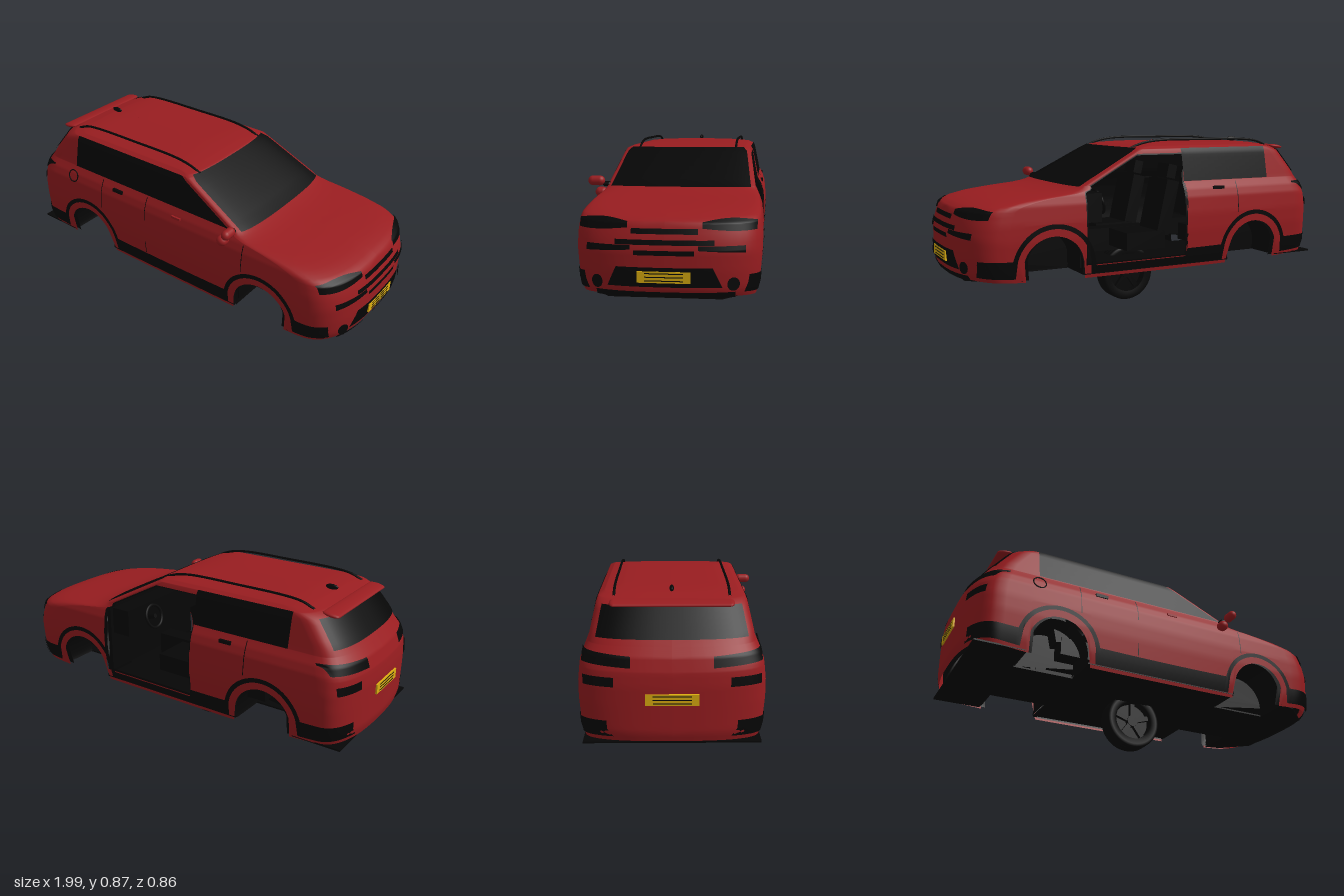
import * as THREE from 'three';

const mat = (name, color) => {
  const m = new THREE.MeshStandardMaterial({ color, side: THREE.DoubleSide });
  m.name = name;
  return m;
};

// Body rules: values by height y
const table = (pts) => (y) => {
  let i = 0;
  while (i < pts.length - 2 && y > pts[i + 1][0]) i++;
  const [a, b] = [pts[i], pts[i + 1]];
  return a[1] + (b[1] - a[1]) * Math.min(1, Math.max(0, (y - a[0]) / (b[0] - a[0])));
};
const halfWidth = table([[.22, .372], [.3, .39], [.42, .4], [.5, .4], [.58, .392], [.62, .379], [.65, .363],
  [.66, .358], [.8, .329], [.82, .323], [.835, .295], [.845, .21], [.85, 0]]);
const frontX = table([[.22, .95], [.28, .98], [.36, .987], [.45, .987], [.5, .975], [.56, .955], [.58, .922],
  [.6, .84], [.615, .71], [.63, .55], [.645, .475], [.66, .425], [.83, .1], [.84, .04], [.847, -.05], [.85, -.2]]);
const rearX = table([[.22, -.97], [.3, -.99], [.5, -.99], [.56, -.985], [.62, -.965], [.68, -.92], [.81, -.82],
  [.825, -.77], [.84, -.7], [.848, -.6], [.85, -.5]]);
const frontCorner = table([[.22, .2], [.6, .2], [.645, .1], [.66, .05], [.83, .05], [.85, .1]]);
const rearCorner = table([[.22, .15], [.62, .15], [.7, .12], [.85, .12]]);
const N = 2.6, AXLE = .56, AXLE_Y = .29;
const lerp = (a, b, t) => a + (b - a) * t;
const arch = (x, r) => {
  const d = Math.abs(x) - AXLE;
  return Math.abs(d) < r ? AXLE_Y + Math.sqrt(r * r - d * d) : 0;
};
const sillY = (x) => .225 + .038 * x ** 4;

// Half width at (x, y), and end position at (z, y)
function sideZ(x, y) {
  const f = (x - frontX(y)) / frontCorner(y) + 1, r = (rearX(y) - x) / rearCorner(y) + 1;
  const s = Math.min(1, Math.max(0, f, r));
  return halfWidth(y) * (1 - s ** N) ** (1 / N);
}
function endX(dir, z, y) {
  const k = Math.min(1, Math.abs(z) / halfWidth(y));
  const drop = 1 - (1 - k ** N) ** (1 / N);
  return dir > 0 ? frontX(y) - frontCorner(y) * drop : rearX(y) + rearCorner(y) * drop;
}
// Half outline at height y, in columns: rear corner, rear side, door, front side, front corner
const CORNER = 12, DOOR_A = CORNER + 60, DOOR_B = DOOR_A + 36, SIDE_END = DOOR_B + 34, COLUMNS = SIDE_END + CORNER;
function outline(i, y) {
  const w = halfWidth(y), lr = rearCorner(y), lf = frontCorner(y), xr = rearX(y) + lr, xf = frontX(y) - lf;
  if (i < CORNER || i > SIDE_END) {
    const t = (i < CORNER ? i : COLUMNS - i) / CORNER * Math.PI / 2;
    const c = Math.max(0, Math.cos(t)) ** (2 / N);
    return [i < CORNER ? xr - lr * c : xf + lf * c, w * Math.sin(t) ** (2 / N)];
  }
  const doorB = Math.min(.4, xf - .01), doorA = Math.min(-.15, lerp(xr, doorB, .6));
  if (i <= DOOR_A) return [lerp(xr, doorA, (i - CORNER) / (DOOR_A - CORNER)), w];
  if (i <= DOOR_B) return [lerp(doorA, doorB, (i - DOOR_A) / (DOOR_B - DOOR_A)), w];
  return [lerp(doorB, xf, (i - DOOR_B) / (SIDE_END - DOOR_B)), w];
}

// Surface from a grid of points, leaving out skipped cells
function grid(nu, nv, point, skip) {
  const pos = [], idx = [];
  for (let j = 0; j <= nv; j++) for (let i = 0; i <= nu; i++) pos.push(...point(i / nu, j / nv, i, j));
  for (let j = 0; j < nv; j++) for (let i = 0; i < nu; i++) {
    if (skip && skip(i, j)) continue;
    const a = j * (nu + 1) + i, b = a + 1, c = a + nu + 1, d = c + 1;
    idx.push(a, b, d, a, d, c);
  }
  const g = new THREE.BufferGeometry();
  g.setAttribute('position', new THREE.Float32BufferAttribute(pos, 3));
  g.setIndex(idx);
  g.computeVertexNormals();
  return g;
}

export function createModel() {
  const root = new THREE.Group(), car = new THREE.Group();
  car.name = 'car';
  car.position.z = -.025;
  root.add(car);
  const red = mat('body red', 0x991d20), black = mat('black', 0x060606);
  const yellow = mat('plate yellow', 0xdcae10);
  const add = (name, geo, m, x = 0, y = 0, z = 0, parent = car) => {
    const mesh = new THREE.Mesh(geo, m);
    mesh.name = name;
    mesh.position.set(x, y, z);
    parent.add(mesh);
    return mesh;
  };
  const box = (w, h, d) => new THREE.BoxGeometry(w, h, d);
  const podZ = (r, len, sx) => new THREE.CapsuleGeometry(r, len, 8, 20).rotateX(Math.PI / 2).scale(sx, 1, 1);

  // Body shell, one half per side; the front door on -z is missing
  const rows = [];
  for (let y = .52; y < .56; y += .02) rows.push(y);
  for (let y = .56; y < .659; y += .0075) rows.push(y);
  for (let y = .66; y < .815; y += .02) rows.push(y);
  for (let y = .82; y < .8501; y += .0025) rows.push(Math.min(y, .85));
  const LOW = 13;
  const inDoor = (i, j) => i >= DOOR_A && i < DOOR_B && j >= 3 && (j <= LOW || rows[j - LOW] < .81);
  for (const s of [1, -1]) {
    const shell = grid(COLUMNS, LOW + rows.length, (a, b, i, j) => {
      const x0 = outline(i, .3)[0];
      const y = j <= LOW ? lerp(Math.max(sillY(x0), arch(x0, .15)), .5, j / LOW) : rows[j - LOW - 1];
      const [x, z] = outline(i, y);
      return [x, y, s * z];
    }, s < 0 ? inDoor : null);
    add('bodyShell', shell, red);
    add('innerLining', shell, black, 0, .0125, 0).scale.setScalar(.975);
  }

  // Painted plates lying on the sides and on the ends
  const sidePlate = (name, s, x0, x1, y0, y1, nu = 20, nv = 8, off = .004) =>
    add(name, grid(nu, nv, (a, b) => {
      const yc = typeof y0 === 'number' ? lerp(y0, y1, b) : 0;
      const x = lerp(x0, typeof x1 === 'function' ? x1(yc) : x1, a);
      const y = yc || lerp(y0(x), y1(x), b);
      return [x, y, s * (sideZ(x, y) + off)];
    }), black);
  const endPlate = (name, dir, z0, z1, y0, y1) =>
    add(name, grid(24, 10, (a, b) => {
      const k = (e, t) => (typeof e === 'function' ? e(t) : e);
      const y = lerp(k(y0, a), k(y1, a), b);
      const z = lerp(k(z0, y), k(z1, y), a);
      return [endX(dir, z, y) + dir * .005, y, z * (1 + .012 * Math.abs(z) / halfWidth(y))];
    }), black);

  for (const s of [1, -1]) {
    // Side glass
    sidePlate('sideGlass', s, -.665, s > 0 ? (y) => frontX(y) - .07 : -.15, .66, .823, 24, 10);
    // Lower cladding that runs over the wheel arches
    const low = (x) => Math.max(sillY(x) + .02, arch(x, .185));
    sidePlate('cladding', s, -.965, .91, low, (x) => {
      const top = s < 0 && x > -.15 && x < .4 ? .285 : .325 + .025 * x * x;
      return Math.max(top, arch(x, .207), low(x));
    }, 240, 2);
    // Panel gaps and door handles
    sidePlate('rearDoorGap', s, -.46, -.456, .49, .65, 1, 8, .002);
    sidePlate('middleDoorGapTop', s, -.154, -.15, .53, .65, 1, 8, .002);
    sidePlate('middleDoorGapBottom', s, -.154, -.15, .33, .4, 1, 4, .002);
    if (s > 0) sidePlate('frontDoorGap', s, .452, .456, .48, .62, 1, 8, .002);
    add('rearDoorHandle', box(.065, .016, .02), black, -.345, .622, s * .377);
    if (s > 0) add('frontDoorHandle', box(.055, .012, .02), red, .05, .613, s * .379);
    // Wheel wells
    const wall = new THREE.Shape().moveTo(.152, -.045);
    wall.absarc(0, 0, .152, 0, Math.PI).lineTo(-.152, -.045);
    for (const x of [-AXLE, AXLE]) {
      const tunnel = new THREE.CylinderGeometry(.152, .152, .185, 32, 1, true, -Math.PI / 2 - .3, Math.PI + .6);
      add('wheelWell', tunnel.rotateX(-Math.PI / 2), black, x, AXLE_Y, s * .28);
      add('wheelWellWall', new THREE.ShapeGeometry(wall, 24), black, x, AXLE_Y, s * .19);
    }
    // Lamps and bumper details
    endPlate('headlight', 1, s * .155, s * .374, (a) => .54 - .012 * Math.sin(a * 2), (a) => .564 + .014 * Math.sin(a * 3));
    endPlate('bumperSlot', 1, s * .14, s * .33, (a) => .452 - .012 * a, .47);
    endPlate('bumperCorner', 1, s * .345, s * .372, .27, .33);
    add('fogLamp', new THREE.CircleGeometry(.028, 24), black, endX(1, .285, .31) + .012, .312, s * .285)
      .rotation.y = Math.PI / 2 - s * .45;
    endPlate('tailLight', -1, s * .17, s * .376, (a) => .59 - .01 * (1 - a), (a) => .625 + .012 * a);
    endPlate('rearReflector', -1, s * .24, s * .37, .5, .54);
    // Roof rails
    const rail = new THREE.CatmullRomCurve3([[-.73, .826], [-.66, .852], [-.3, .863], [-.05, .86], [.04, .845], [.1, .822]]
      .map(([x, y]) => new THREE.Vector3(x, y, s * .25)));
    add('roofRail', new THREE.TubeGeometry(rail, 40, .006, 8), black);
  }

  // Windscreen and rear window
  const glassEdge = (k) => (y) => k * halfWidth(y);
  endPlate('windscreen', 1, glassEdge(-.93), glassEdge(.93), .656, .828);
  endPlate('rearWindow', -1, glassEdge(-.9), glassEdge(.9), .685, .805);

  // Nose bars, lower grille and lip
  endPlate('upperGrille', 1, -.138, .138, .516, .538);
  endPlate('middleGrille', 1, -.205, .205, .472, .493);
  endPlate('noseSlot', 1, -.125, .125, .43, .45);
  const flare = (k) => (y) => k * lerp(.238, .2, (y - .297) / .083);
  endPlate('lowerGrille', 1, flare(-1), flare(1), .297, .38);
  endPlate('frontLip', 1, -.29, .29, .25, .276);

  // Number plates with dark stripes
  for (const [dir, y] of [[1, .34], [-1, .45]]) {
    const x = endX(dir, 0, y) + dir * .004;
    add('numberPlate', box(.008, .048, .222), yellow, x, y, 0);
    for (const k of [-1, 0, 1]) add('plateStripe', box(.002, .004, .16), black, x + dir * .004, y + k * .015, 0);
  }

  // Rear spoiler, aerial and fuel cap
  add('spoiler', new THREE.CapsuleGeometry(.02, .49, 6, 16).rotateX(Math.PI / 2).scale(2.1, .5, 1),
    red, -.81, .816, 0).rotation.z = .14;
  add('aerial', new THREE.SphereGeometry(1, 24, 16).scale(.032, .013, .01), black, -.69, .853, 0);
  add('fuelCap', new THREE.TorusGeometry(.032, .003, 6, 32), black, -.67, .608, .387).rotation.x = -.27;

  // Mirror pair on the +z side only
  add('mirror', podZ(.024, .034, .95), red, .39, .677, .415);
  add('lowerMirror', podZ(.025, .012, 1.1), red, .348, .617, .4);
  add('mirrorFoot', podZ(.012, .02, 1.8), black, .37, .66, .367);

  // Floor pan with notches for the wheels
  const flank = [[-.955, .378]];
  for (const c of [-AXLE, AXLE]) flank.push([c - .152, .378], [c - .152, .19], [c + .152, .19], [c + .152, .378]);
  flank.push([.8, .36], [.94, .24]);
  const floor = new THREE.Shape([...flank, ...flank.map(([x, z]) => [x, -z]).reverse()]
    .map(([x, z]) => new THREE.Vector2(x, z)));
  add('floorPan', new THREE.ExtrudeGeometry(floor, { depth: .008, bevelEnabled: false }).rotateX(Math.PI / 2),
    black, 0, .25, 0);

  // Cabin: seats, dashboard, console and steering wheel
  for (const x of [.02, -.4]) for (const z of [-.18, .18]) {
    add('seatCushion', box(.22, .09, .2), black, x, .36, z);
    add('seatBack', box(.07, .28, .19), black, x - .13, .52, z).rotation.z = .22;
    add('headrest', box(.05, .07, .11), black, x - .175, .7, z).rotation.z = .22;
  }
  add('dashboard', box(.14, .14, .66), black, .36, .55, 0);
  add('centreConsole', box(.42, .12, .09), black, .1, .34, 0);
  add('bulkhead', box(.02, .36, .7), black, .405, .45, 0);
  add('steeringWheel', new THREE.TorusGeometry(.06, .008, 8, 28).rotateY(Math.PI / 2), black, .24, .56, -.18)
    .rotation.z = -.3;
  add('steeringColumn', new THREE.CylinderGeometry(.012, .018, .12, 12), black, .29, .545, -.18)
    .rotation.z = Math.PI / 2 - .3;

  // Single wheel under the middle of the car
  const wheel = new THREE.Group();
  wheel.name = 'wheel';
  wheel.position.set(0, .147, 0);
  car.add(wheel);
  const tyre = [[.1, -.045], [.13, -.05], [.143, -.045], [.147, -.035], [.147, -.018], [.143, -.016], [.143, -.012],
    [.147, -.01], [.147, .01], [.143, .012], [.143, .016], [.147, .018], [.147, .035], [.143, .045], [.13, .05],
    [.1, .045], [.095, .02], [.095, -.02], [.1, -.045]].map(([r, h]) => new THREE.Vector2(r, h));
  add('tyre', new THREE.LatheGeometry(tyre, 48).rotateX(Math.PI / 2), black, 0, 0, 0, wheel);
  add('hub', new THREE.CylinderGeometry(.03, .03, .07, 20).rotateX(Math.PI / 2), black, 0, 0, 0, wheel);
  add('rimDisc', new THREE.CylinderGeometry(.096, .096, .02, 36).rotateX(Math.PI / 2), black, 0, 0, 0, wheel);
  for (let i = 0; i < 5; i++) {
    const spoke = add('spoke', box(.024, .09, .06).translate(0, .055, 0), black, 0, 0, 0, wheel);
    spoke.rotation.z = i * Math.PI * 2 / 5;
  }
  return root;
}
